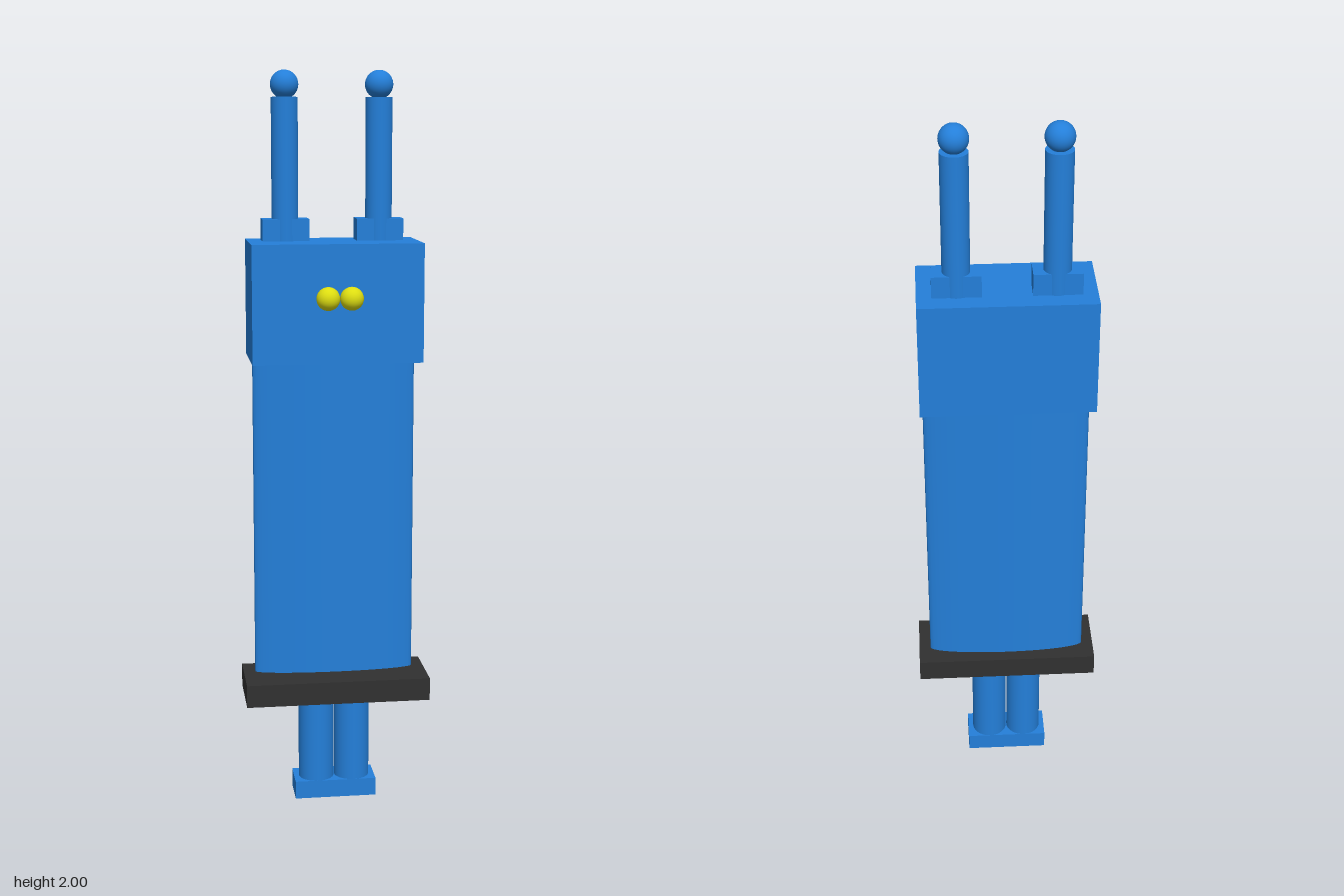
import * as THREE from 'three';

export function createModel() {
  const model = new THREE.Group();
  const paint = (name, color) => {
    const m = new THREE.MeshStandardMaterial({ color });
    m.name = name;
    return m;
  };
  const blue = paint('blue', 0x247fd9);
  const black = paint('black', 0x303030);
  const yellow = paint('yellow', 0xdddd11);

  const add = (name, geometry, material, x, y, z) => {
    const mesh = new THREE.Mesh(geometry, material);
    mesh.name = name;
    mesh.position.set(x, y, z);
    model.add(mesh);
    return mesh;
  };
  // box and upright cylinder given by their bottom and top heights
  const box = (name, mat, w, d, y0, y1, x, z) =>
    add(name, new THREE.BoxGeometry(w, y1 - y0, d), mat, x, (y0 + y1) / 2, z);
  const post = (name, mat, r, y0, y1, x, z) =>
    add(name, new THREE.CylinderGeometry(r, r, y1 - y0, 40), mat, x, (y0 + y1) / 2, z);

  // foot, hip plate and head
  box('foot', blue, 0.226, 0.098, 0, 0.05, 0, -0.027);
  box('hipPlate', black, 0.504, 0.188, 0.302, 0.364, 0, 0);
  box('head', blue, 0.454, 0.226, 1.24, 1.555, 0, -0.032);

  // flattened oval body
  const body = post('body', blue, 1, 0.364, 1.24, 0, -0.027);
  body.scale.set(0.22, 1, 0.032);

  // mirrored pairs
  for (const [side, s] of [['left', 1], ['right', -1]]) {
    post(side + 'Leg', blue, 0.049, 0.05, 0.302, s * 0.05, -0.027);
    add(side + 'Eye', new THREE.SphereGeometry(0.031, 32, 20), yellow, s * 0.031, 1.416, 0.111);
    box(side + 'AntennaBase', blue, 0.125, 0.063, 1.555, 1.613, s * 0.126, -0.0625);
    post(side + 'Antenna', blue, 0.0355, 1.555, 1.93, s * 0.126, -0.0625);
    add(side + 'AntennaTip', new THREE.SphereGeometry(0.0375, 32, 20), blue, s * 0.126, 1.9625, -0.0625);
  }
  return model;
}
